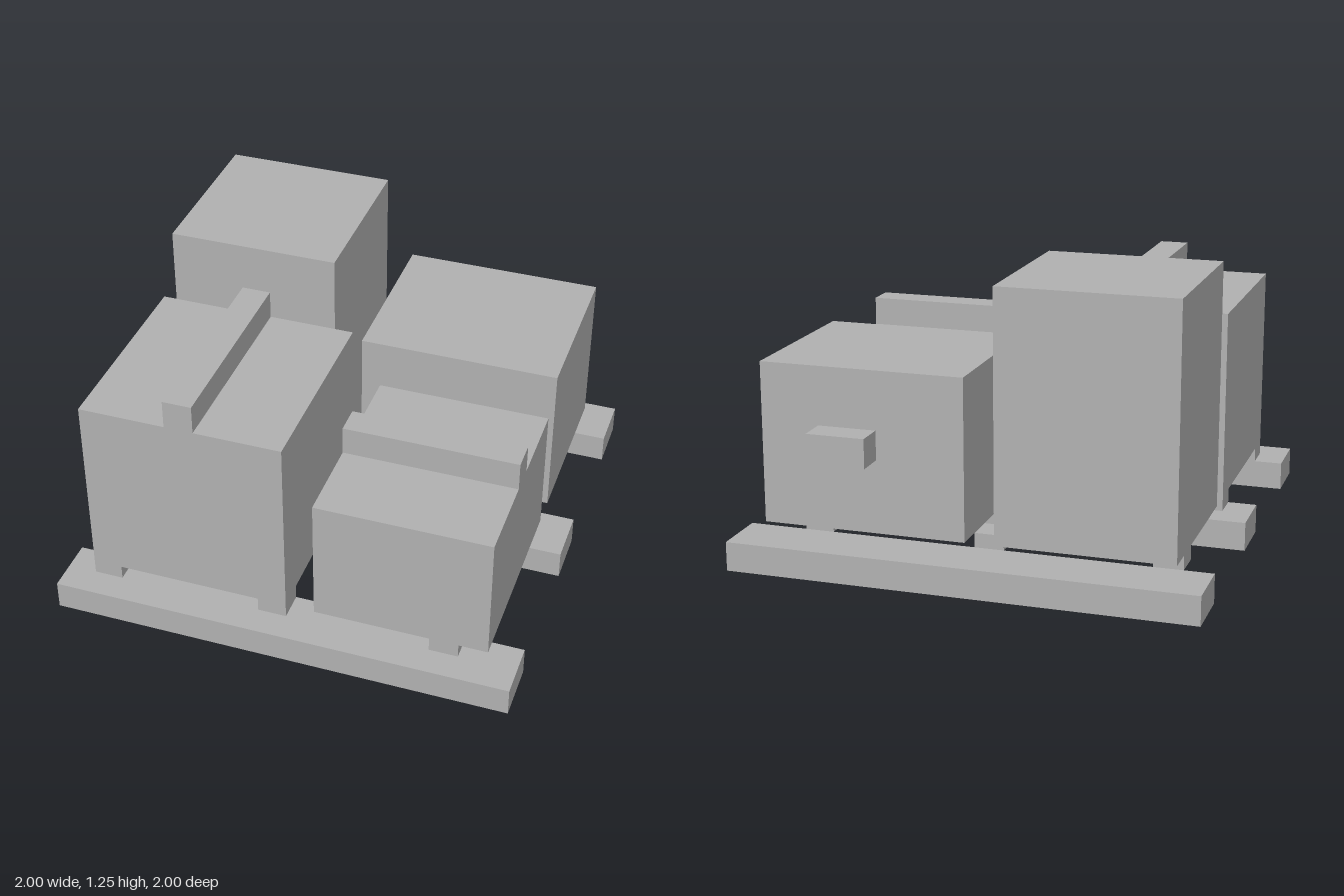
import * as THREE from 'three';

export function createModel() {
  const model = new THREE.Group();
  model.name = 'loadedPallet';
  const grey = new THREE.MeshStandardMaterial({ color: 0xb2b2b2 });
  grey.name = 'grey';

  // Box given by its extents along each axis
  function block(name, [x0, x1], [y0, y1], [z0, z1], parent = model) {
    const mesh = new THREE.Mesh(new THREE.BoxGeometry(x1 - x0, y1 - y0, z1 - z0), grey);
    mesh.name = name;
    mesh.position.set((x0 + x1) / 2, (y0 + y1) / 2, (z0 + z1) / 2);
    parent.add(mesh);
  }

  // Three runners along x, with a 3 x 3 set of spacer feet
  const pallet = new THREE.Group();
  pallet.name = 'pallet';
  model.add(pallet);
  const railTop = 0.125, base = 0.1875, w = 0.125;
  for (const z of [-1, -0.125, 0.75]) block('runner', [-1, 1], [0, railTop], [z, z + 0.25], pallet);
  for (const x of [-0.875, -0.125, 0.625]) {
    for (const z of [-0.75, 0, 0.75]) block('foot', [x, x + w], [railTop, base], [z, z + w], pallet);
  }

  // Four crates of different heights
  block('frontRightCrate', [-0.875, 0], [base, 1], [0, 0.875]);
  block('frontLeftCrate', [0.125, 0.875], [base, 0.75], [0, 0.875]);
  block('backRightCrate', [-0.875, -0.125], [base, 1.25], [-0.875, -0.125]);
  block('backLeftCrate', [0, 0.875], [base, 0.875], [-0.875, -0.125]);

  // Ridges on the front crates and a grip on the back
  block('frontRightRidge', [-0.5, -0.375], [1, 1.125], [0, 0.875]);
  block('frontLeftRidge', [0.125, 0.875], [0.75, 0.875], [0.375, 0.5]);
  block('backGrip', [0.375, 0.625], [0.5, 0.625], [-1, -0.875]);

  return model;
}
